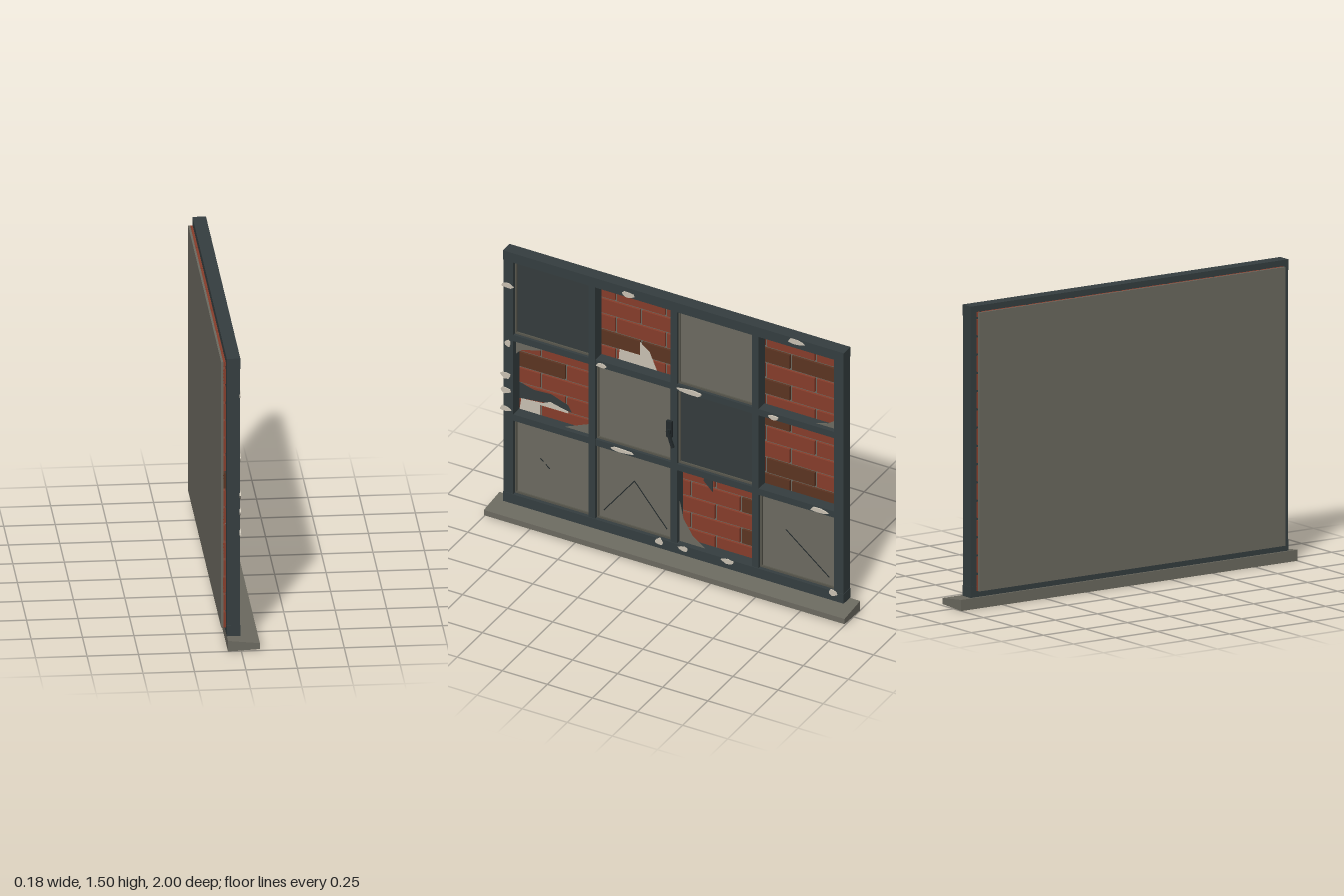
import * as THREE from 'three';

const mat = (name, color) => Object.assign(new THREE.MeshStandardMaterial({ color }), { name });

export function createModel() {
  const M = {
    frame: mat('frame paint', 0x353e40), dark: mat('dark pane', 0x343c3d),
    grey: mat('weathered grey', 0x6c6a60), bead: mat('glazing bead', 0x57564c),
    brick: mat('red brick', 0x873d2b), burnt: mat('dark brick', 0x5c3421),
    chip: mat('bare chip', 0xc9c1b2), metal: mat('handle metal', 0x22292b),
  };
  const root = new THREE.Group();
  root.name = 'brickedUpWindow';

  // Box given by its limits on each axis
  const box = (name, m, x0, x1, y0, y1, z0, z1) => {
    const mesh = new THREE.Mesh(new THREE.BoxGeometry(x1 - x0, y1 - y0, z1 - z0), m);
    mesh.position.set((x0 + x1) / 2, (y0 + y1) / 2, (z0 + z1) / 2);
    mesh.name = name;
    root.add(mesh);
    return mesh;
  };
  // Thin plate facing +x, outlined by [z, y] points
  const plate = (name, m, x, pts, depth = 0.003) => {
    const shape = new THREE.Shape(pts.map(([z, y]) => new THREE.Vector2(-z, y)));
    const geo = new THREE.ExtrudeGeometry(shape, { depth, bevelEnabled: false });
    const mesh = new THREE.Mesh(geo.rotateY(Math.PI / 2), m);
    mesh.position.x = x;
    mesh.name = name;
    root.add(mesh);
  };
  // Bar between two [z, y] points
  const bar = (name, m, x0, x1, a, b, width) => {
    const mid = [(a[0] + b[0]) / 2, (a[1] + b[1]) / 2];
    const h = Math.hypot(b[0] - a[0], b[1] - a[1]) / 2;
    const mesh = box(name, m, x0, x1, mid[1] - h, mid[1] + h, mid[0] - width / 2, mid[0] + width / 2);
    mesh.rotation.x = Math.atan2(b[0] - a[0], b[1] - a[1]);
  };

  // Sloping sill
  const profile = new THREE.Shape([[-0.065, 0], [0.09, 0.008], [0.09, 0.038], [-0.065, 0.055]]
    .map(([x, y]) => new THREE.Vector2(x, y)));
  const sill = new THREE.Mesh(new THREE.ExtrudeGeometry(profile, { depth: 2, bevelEnabled: false }), M.grey);
  sill.position.z = -1;
  sill.name = 'sill';
  root.add(sill);

  // Mortar backing and running-bond bricks
  box('mortarWall', M.grey, -0.09, -0.08, 0.09, 1.47, -0.91, 0.91);
  const burnt = new Set(['11:2', '11:3', '13:5', '13:6', '11:5', '8:0', '9:5', '6:5', '5:5', '5:6', '3:5', '1:5']);
  const pitch = 0.0904, len = 0.277, gap = 0.006;
  for (let r = 0; r < 16; r++) {
    const y0 = 0.09 + r * pitch, y1 = Math.min(y0 + pitch - 2 * gap, 1.47);
    for (let k = 0; k < 8; k++) {
      const start = 0.91 - k * len + (r % 2 ? len / 2 : 0);
      const zMax = Math.min(start - (k ? gap : 0), 0.91), zMin = Math.max(start - len + gap, -0.91);
      if (zMax - zMin < 0.01) continue;
      box('brick', burnt.has(`${r}:${k}`) ? M.burnt : M.brick, -0.0805, -0.068, y0, y1, zMin, zMax);
    }
  }

  // Outer frame
  box('topRail', M.frame, -0.066, 0, 1.446, 1.5, -0.945, 0.945);
  box('bottomRail', M.frame, -0.066, 0, 0.058, 0.112, -0.945, 0.945);
  for (const s of [-1, 1]) {
    const e = [s * 0.89, s * 0.943].sort((a, b) => a - b);
    box('stile', M.frame, -0.065, -0.002, 0.11, 1.447, e[0], e[1]);
  }

  // Glazing bars
  for (const z of [0.453, 0, -0.453]) box('mullion', M.frame, -0.065, -0.004, 0.11, 1.447, z - 0.018, z + 0.018);
  for (const y of [1.009, 0.551]) box('crossBar', M.frame, -0.065, -0.005, y - 0.018, y + 0.018, -0.89, 0.89);

  // Panes: d = dark, g = grey, space = open to the bricks
  const cols = [[0.471, 0.89], [0.018, 0.435], [-0.435, -0.018], [-0.89, -0.471]];
  const rows = [[1.027, 1.446], [0.569, 0.991], [0.112, 0.533]];
  ['d g ', ' gd ', 'gg g'].forEach((line, r) => [...line].forEach((c, k) => {
    if (c === ' ') return;
    const [z0, z1] = cols[k], [y0, y1] = rows[r], b = 0.01;
    box('pane', c === 'd' ? M.dark : M.grey, -0.034, -0.028, y0, y1, z0, z1);
    for (const y of [y0, y1 - b]) box('bead', M.bead, -0.03, -0.02, y, y + b, z0, z1);
    for (const z of [z0, z1 - b]) box('bead', M.bead, -0.03, -0.02, y0 + b, y1 - b, z, z + b);
  }));

  // Cracks in the bottom panes
  for (const [a, b] of [
    [[0.4, 0.16], [0.23, 0.38]], [[0.23, 0.38], [0.05, 0.16]], [[-0.61, 0.365], [-0.85, 0.165]],
    [[0.752, 0.348], [0.735, 0.333]], [[0.722, 0.322], [0.7, 0.302]],
  ]) bar('crack', M.metal, -0.029, -0.0265, a, b, 0.005);

  // Plaster remains and broken pane shards
  plate('plasterPatch', M.chip, -0.069, [[0.34, 1.02], [0.335, 1.085], [0.222, 1.085], [0.222, 1.16], [0.169, 1.12], [0.126, 1.02]]);
  plate('plasterPatch', M.chip, -0.069, [[0.89, 0.56], [0.88, 0.63], [0.76, 0.64], [0.72, 0.66], [0.62, 0.635], [0.62, 0.625], [0.775, 0.625], [0.775, 0.56]]);
  plate('darkShard', M.dark, -0.07, [[0.89, 0.72], [0.81, 0.7], [0.715, 0.705], [0.62, 0.67], [0.6, 0.635], [0.72, 0.65], [0.89, 0.63]]);
  plate('darkShard', M.dark, -0.034, [[-0.16, 0.535], [-0.2, 0.535], [-0.2, 0.45], [-0.15, 0.5]]);
  for (const pts of [
    [[0.89, 0.99], [0.694, 0.99], [0.76, 0.963], [0.86, 0.935], [0.89, 0.905]],
    [[0.472, 0.63], [0.472, 0.567], [0.62, 0.567]],
    [[-0.89, 1.08], [-0.89, 1.025], [-0.77, 1.025], [-0.84, 1.045]],
    [[-0.016, 0.35], [-0.04, 0.24], [-0.09, 0.16], [-0.16, 0.11], [-0.016, 0.11]],
  ]) plate('greyShard', M.grey, -0.034, pts);

  // Paint chips: centre z, centre y, width, height
  [
    [0.25, 1.462, 0.07, 0.032], [-0.68, 1.482, 0.09, 0.03], [0.92, 1.305, 0.065, 0.028], [0.918, 0.973, 0.033, 0.038],
    [0.929, 0.786, 0.055, 0.036], [0.929, 0.7, 0.055, 0.034], [0.932, 0.594, 0.06, 0.028], [0.4, 1.006, 0.055, 0.022],
    [-0.094, 1.007, 0.14, 0.026], [-0.555, 1.006, 0.055, 0.024], [0.287, 0.551, 0.125, 0.02], [-0.806, 0.551, 0.095, 0.024],
    [0.078, 0.096, 0.045, 0.036], [-0.056, 0.096, 0.055, 0.028], [-0.302, 0.1, 0.07, 0.028], [-0.886, 0.102, 0.046, 0.034],
  ].forEach(([z, y, w, h], i) => {
    const pts = [];
    for (let k = 0; k < 8; k++) {
      const a = k * Math.PI / 4 + 0.2, rad = 1 + 0.15 * Math.sin(i * 5 + k * 2.3);
      pts.push([z + Math.cos(a) * rad * w / 2, y + Math.sin(a) * rad * h / 2]);
    }
    plate('paintChip', M.chip, -0.005, pts, 0.008);
  });

  // Handle
  box('handlePlate', M.metal, -0.005, 0.012, 0.72, 0.81, 0.004, 0.034);
  box('handlePivot', M.metal, 0.01, 0.02, 0.745, 0.768, 0.006, 0.028);
  bar('handleLever', M.metal, 0.016, 0.029, [0.02, 0.766], [-0.01, 0.676], 0.014);

  return root;
}
